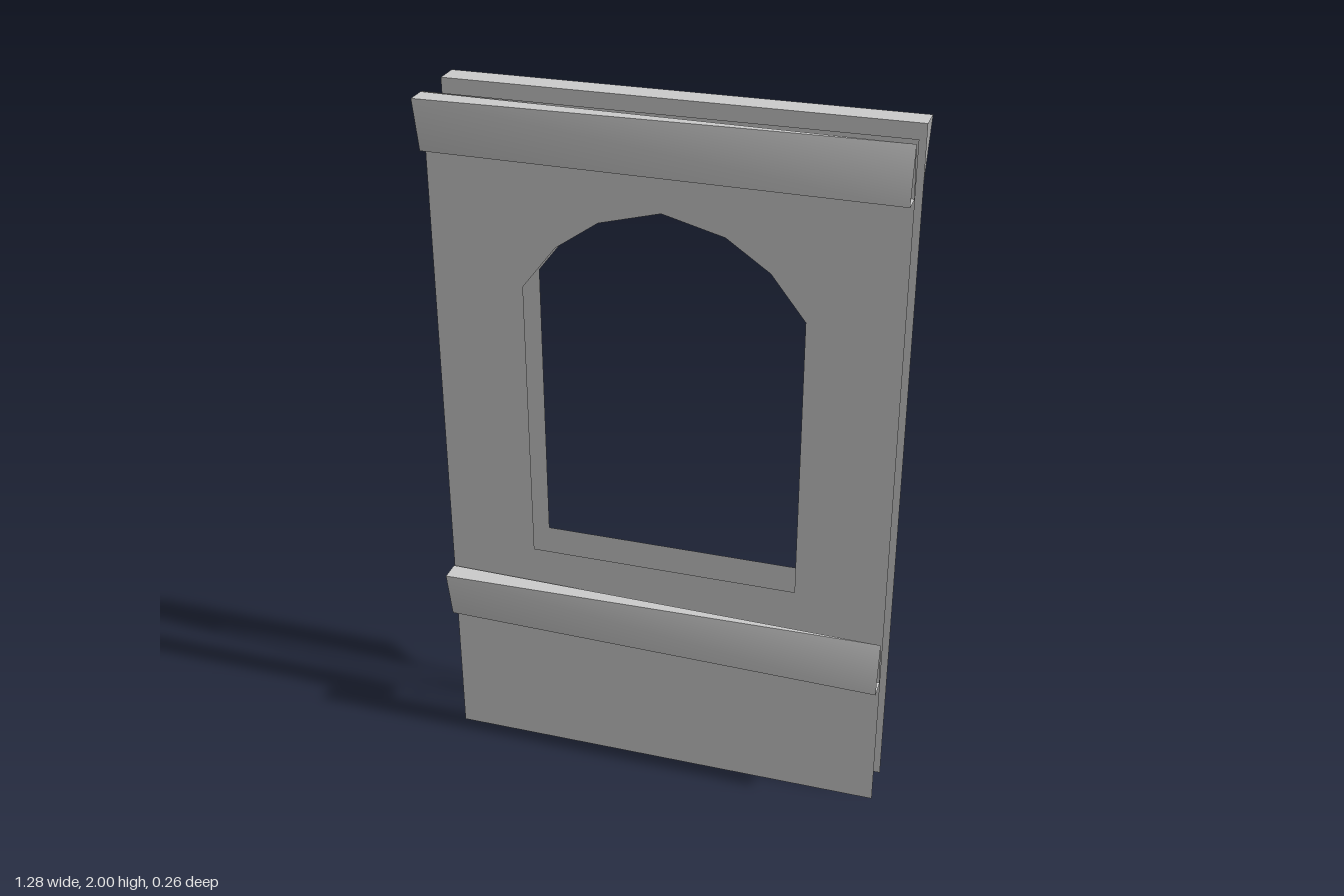
import * as THREE from 'three';
import { mergeGeometries } from 'three/addons/utils/BufferGeometryUtils.js';

const W = 0.64;        // half width of the wall
const BAND = 0.148;    // height of each trim band
const material = new THREE.MeshStandardMaterial({ color: 0xcccccc, side: THREE.DoubleSide });

// One triangle or quad, smooth inside and creased at its borders
function face(...corners) {
  const g = new THREE.BufferGeometry();
  g.setAttribute('position', new THREE.Float32BufferAttribute(corners.flat(), 3));
  g.setIndex(corners.length === 4 ? [0, 1, 2, 0, 2, 3] : [0, 1, 2]);
  g.computeVertexNormals();
  return g;
}

function part(name, geometry) {
  const mesh = new THREE.Mesh(geometry, material);
  mesh.name = name;
  return mesh;
}

// Thin wall sheet with an arched window opening
function wallSheet(name, z) {
  const shape = new THREE.Shape([[-W, 0], [W, 0], [W, 2], [-W, 2]].map(p => new THREE.Vector2(...p)));
  const half = [[0.385, 0.67], [0.385, 1.49], [0.29, 1.612], [0.17, 1.695]];
  const outline = [...half, [0, 1.74], ...half.map(([x, y]) => [-x, y]).reverse()];
  shape.holes.push(new THREE.Path(outline.map(p => new THREE.Vector2(...p))));
  const mesh = part(name, new THREE.ShapeGeometry(shape));
  mesh.position.z = z;
  return mesh;
}

// Open-ended twisted band: wide at the top on one end, at the bottom on the other
function frontTrim(name, top) {
  const bot = top - BAND, outer = 0.13, mid = 0.1, inner = 0.07;
  const A = [-W, top, outer], B = [-W, top, inner], C = [-W, bot, mid];
  const D = [W, top, mid], E = [W, bot, outer], F = [W, bot, inner];
  return part(name, mergeGeometries([
    face(A, C, E, D), face(F, C, B, D),
    mergeGeometries([face(A, D, B), face(C, F, E)]),
  ]));
}

// Open-ended ledge on the back whose underside tapers to nothing
function backTrim(name, top) {
  const bot = top - BAND, outer = -0.13, inner = -0.058;
  const I = [-W, top, inner], J = [W, top, inner], P = [W, top, outer], Q = [-W, top, outer];
  const R = [-W, bot, outer], S = [W, bot, inner], T = [-W, bot, inner];
  return part(name, mergeGeometries([
    face(I, J, P, Q), face(P, S, R, Q), face(T, R, S),
  ]));
}

export function createModel() {
  const group = new THREE.Group();
  group.name = 'windowWall';
  group.add(
    wallSheet('frontWall', 0.065),
    wallSheet('backWall', -0.058),
    frontTrim('upperFrontTrim', 2),
    frontTrim('lowerFrontTrim', 0.568),
    backTrim('upperBackTrim', 2),
  );
  return group;
}
